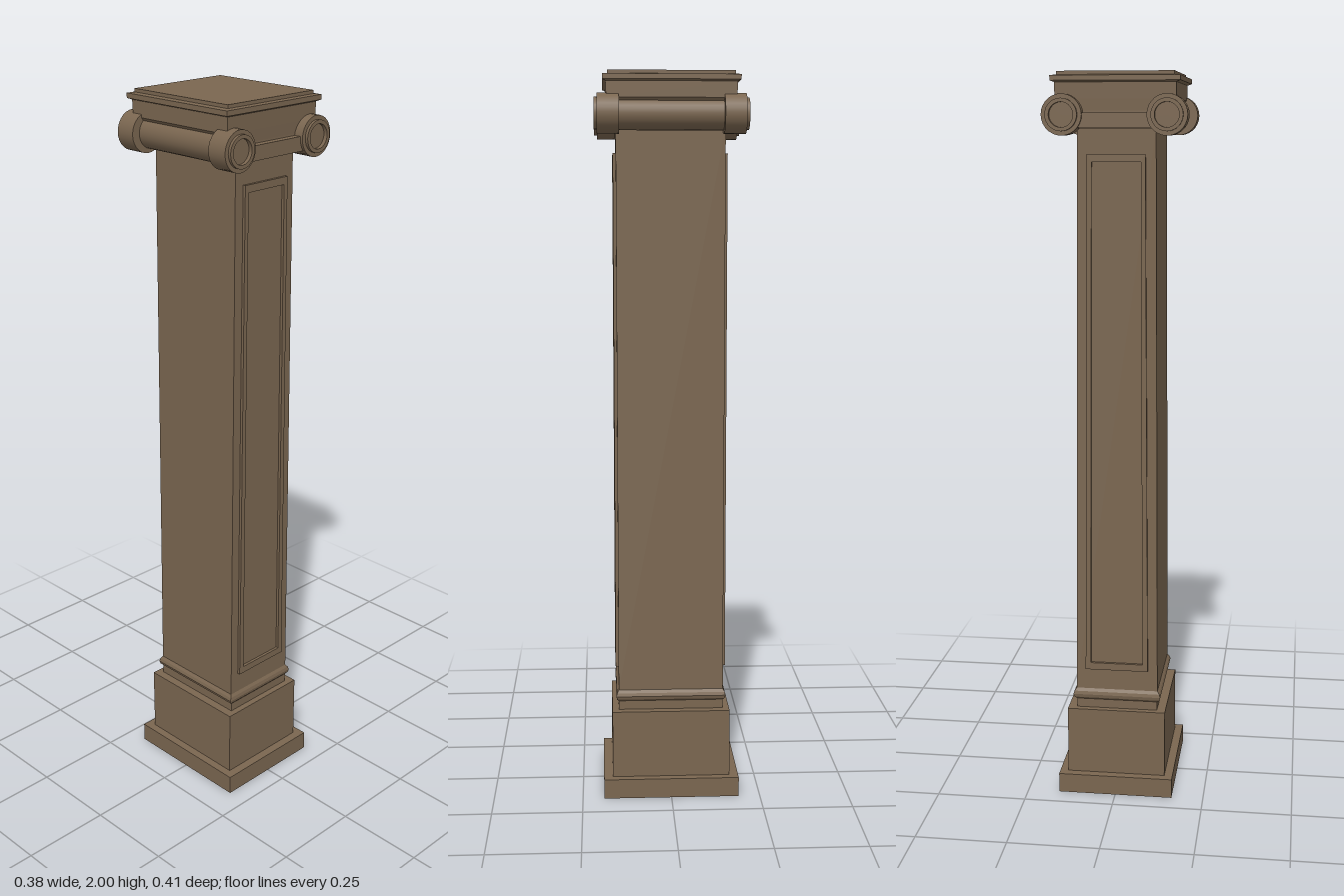
import * as THREE from 'three';

// Rectangular shell lofted through [halfX, halfZ, y] sections
function loft(sections, capTop) {
  const pos = [];
  const corners = ([x, z, y]) => [[x, y, z], [x, y, -z], [-x, y, -z], [-x, y, z]];
  const quad = (a, b, c, d) => pos.push(...a, ...b, ...c, ...a, ...c, ...d);
  for (let i = 0; i < sections.length - 1; i++) {
    const lo = corners(sections[i]), hi = corners(sections[i + 1]);
    for (let k = 0; k < 4; k++) {
      const n = (k + 1) % 4;
      quad(lo[k], lo[n], hi[n], hi[k]);
    }
  }
  if (capTop) quad(...corners(sections[sections.length - 1]));
  const geo = new THREE.BufferGeometry();
  geo.setAttribute('position', new THREE.Float32BufferAttribute(pos, 3));
  geo.computeVertexNormals();
  return geo;
}

export function createModel() {
  const group = new THREE.Group();
  const stone = new THREE.MeshStandardMaterial({ color: 0x7a6650, side: THREE.DoubleSide });
  stone.name = 'brown stone';
  const add = (name, geo, x = 0, y = 0, z = 0) => {
    const mesh = new THREE.Mesh(geo, stone);
    mesh.name = name;
    mesh.position.set(x, y, z);
    group.add(mesh);
    return mesh;
  };

  // Hollow stepped base, open underneath
  add('base', loft([
    [0.161, 0.19, 0], [0.161, 0.19, 0.055], [0.138, 0.165, 0.055],
    [0.138, 0.165, 0.245], [0.114, 0.147, 0.245],
  ]));

  // Tapered shaft with a moulding at its foot
  add('shaft', loft([
    [0.114, 0.147, 0.245], [0.114, 0.147, 0.27], [0.121, 0.152, 0.276],
    [0.124, 0.154, 0.285], [0.121, 0.152, 0.294], [0.115, 0.147, 0.302],
    [0.104, 0.147, 1.855],
  ]));

  // Capital block and stepped top slab
  add('capital', loft([
    [0.104, 0.147, 1.855], [0.135, 0.17, 1.855], [0.135, 0.17, 1.9], [0.158, 0.172, 1.93],
    [0.158, 0.174, 1.972], [0.169, 0.182, 1.976], [0.169, 0.182, 1.989],
    [0.153, 0.169, 1.991], [0.153, 0.169, 2],
  ], true));

  // Tapered rectangular panel frame
  const frame = new THREE.Shape([[-0.088, 0.362], [0.088, 0.362], [0.077, 1.79], [-0.077, 1.79]]
    .map(p => new THREE.Vector2(...p)));
  frame.holes.push(new THREE.Path([[-0.073, 0.382], [-0.065, 1.77], [0.065, 1.77], [0.073, 0.382]]
    .map(p => new THREE.Vector2(...p))));
  const frameGeo = new THREE.ExtrudeGeometry(frame, { depth: 0.012, bevelEnabled: false });

  // Scroll end: drum with a raised rim around a recessed disc
  const scrollProfile = [[0, -0.033], [0.053, -0.033], [0.053, 0.025], [0.042, 0.025],
    [0.042, 0.033], [0.032, 0.033], [0.032, 0.022], [0, 0.022]];
  // Separate bands keep the edges of the turned profile crisp
  const scrollBands = scrollProfile.slice(1).map((p, i) =>
    new THREE.LatheGeometry([scrollProfile[i], p].map(q => new THREE.Vector2(...q)), 28));

  for (const s of [1, -1]) {
    const side = s > 0 ? 'front' : 'back';
    const f = add(side + 'PanelFrame', frameGeo, 0, 0, s * 0.143);
    if (s < 0) f.rotation.y = Math.PI;

    // Band joining the two scrolls on this face
    add(side + 'Band', new THREE.BoxGeometry(0.22, 0.038, 0.04), 0, 1.876, s * 0.17);

    for (const x of [0.137, -0.137]) {
      const scroll = new THREE.Group();
      scroll.name = side + (x > 0 ? 'Left' : 'Right') + 'Scroll';
      for (const geo of scrollBands) scroll.add(new THREE.Mesh(geo, stone));
      scroll.rotation.x = s * Math.PI / 2;
      scroll.position.set(x, 1.89, s * 0.172);
      group.add(scroll);
    }

    // Bolster running front to back between scrolls
    const bolster = add(s > 0 ? 'leftBolster' : 'rightBolster',
      new THREE.CylinderGeometry(0.043, 0.043, 0.3, 28), s * 0.124, 1.89, 0);
    bolster.rotation.x = Math.PI / 2;
  }
  return group;
}
